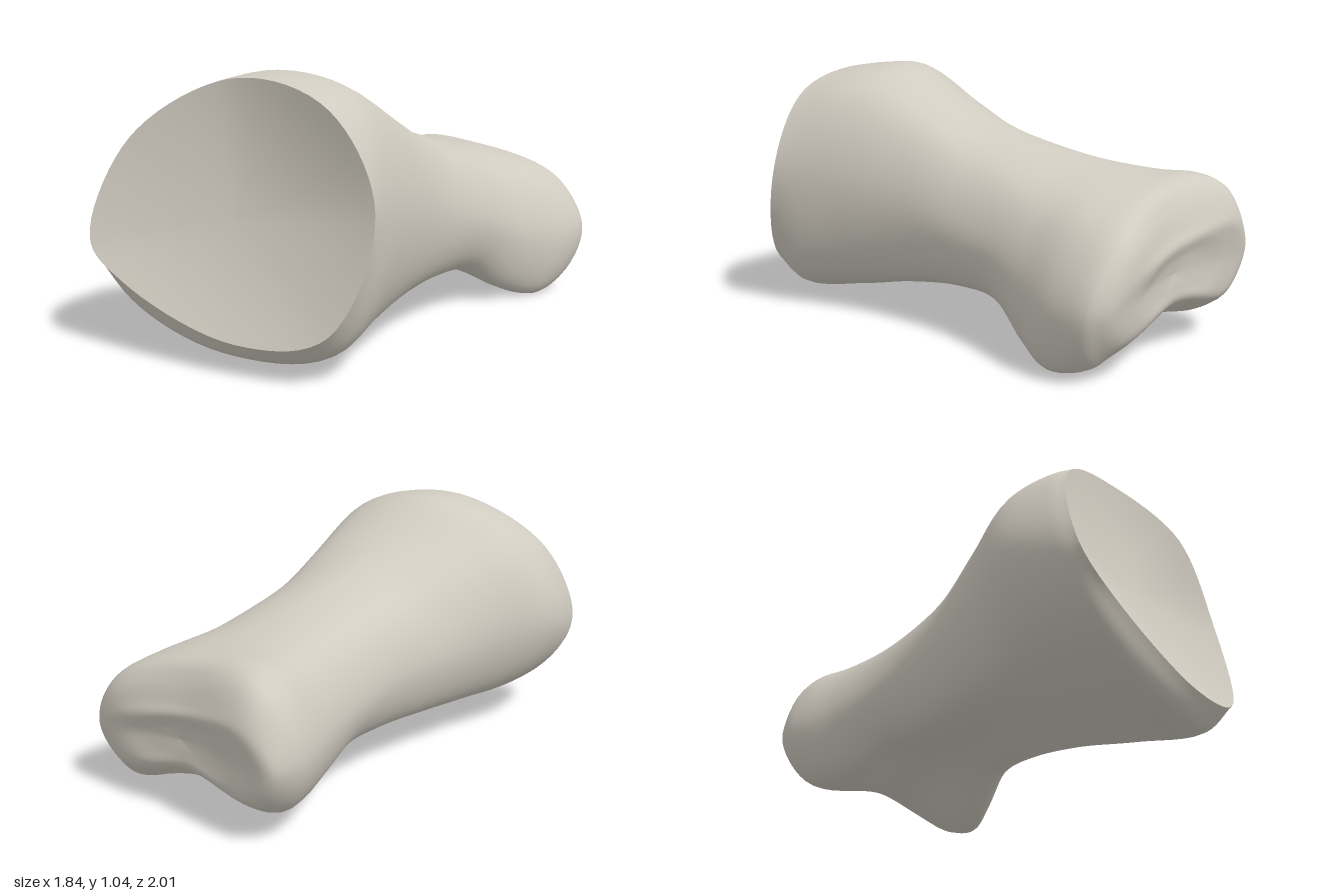
import * as THREE from 'three';

const AROUND = 72;

// Rim of the joint face: left side, over the top, right side, back underneath
const RIM = [
  [-0.92, 0.42, 0.69], [-0.78, 0.79, 0.62], [-0.38, 1.015, 0.655], [0.03, 0.93, 0.86],
  [0.20, 0.60, 0.94], [0.05, 0.19, 1.00], [-0.30, 0.12, 0.92], [-0.77, 0.28, 0.76],
].map(p => new THREE.Vector3(...p));

// Cross-sections from behind the rim to the knuckle end:
// left x,z | right x,z | side heights | top heights | bottom heights | lean | groove
const SECTIONS = [
  [-0.91, 0.59, 0.22, 0.82, 0.44, 0.58, 0.82, 1.03, 0.94, 0.22, 0.05, 0.11, -0.25, 0],
  [-0.82, 0.37, 0.26, 0.62, 0.50, 0.55, 0.82, 1.03, 0.92, 0.22, 0.07, 0.13, -0.12, 0],
  [-0.60, 0.17, 0.33, 0.35, 0.48, 0.50, 0.77, 0.90, 0.81, 0.20, 0.13, 0.17, -0.10, 0],
  [-0.40, -0.05, 0.43, 0.12, 0.44, 0.42, 0.69, 0.80, 0.69, 0.20, 0.17, 0.19, -0.05, 0],
  [-0.25, -0.25, 0.54, -0.07, 0.42, 0.36, 0.66, 0.735, 0.62, 0.20, 0.19, 0.17, -0.05, 0],
  [-0.14, -0.47, 0.68, -0.22, 0.38, 0.28, 0.63, 0.68, 0.55, 0.19, 0.19, 0.05, -0.10, 0],
  [-0.08, -0.66, 0.83, -0.36, 0.36, 0.26, 0.62, 0.64, 0.52, 0.13, 0.17, 0.00, -0.20, 0],
  [-0.04, -0.83, 0.92, -0.50, 0.34, 0.26, 0.62, 0.61, 0.49, 0.10, 0.14, 0.04, -0.20, 0.02],
  [0.00, -0.93, 0.91, -0.55, 0.33, 0.26, 0.58, 0.55, 0.45, 0.11, 0.14, 0.09, -0.20, 0.04],
  [0.08, -1.00, 0.88, -0.59, 0.33, 0.27, 0.48, 0.47, 0.39, 0.17, 0.18, 0.14, -0.15, 0.045],
];

// Eight guide points of one section, in the same order as the rim
function guideRing([lx, lz, rx, rz, yl, yr, t1, t2, t3, b1, b2, b3, lean, groove]) {
  const forward = new THREE.Vector2(lz - rz, rx - lx).normalize();
  const mid = (yl + yr) / 2;
  const guides = [[0, yl], [0.13, t1], [0.5, t2], [0.86, t3], [1, yr], [0.89, b3], [0.5, b2], [0.12, b1]];
  return guides.map(([s, y]) => {
    const d = lean * (y - mid) + (s === 0.5 ? groove : 0);
    return new THREE.Vector3(lx + (rx - lx) * s + forward.x * d, y, lz + (rz - lz) * s + forward.y * d);
  });
}

function smoothRing(points) {
  const curve = new THREE.CatmullRomCurve3(points, true);
  return Array.from({ length: AROUND }, (_, j) => curve.getPoint(j / AROUND));
}

// Ring scaled by r toward a centre, curving smoothly along the normal
function shrink(ring, centre, normal, r) {
  return ring.map(p => {
    const v = p.clone().sub(centre);
    const h = v.dot(normal);
    return centre.clone().addScaledVector(v, r).addScaledVector(normal, h * (r * r - r));
  });
}

// Smooth skin through a list of closed rings
function skin(rings) {
  const positions = [], index = [];
  rings.forEach(ring => ring.forEach(p => positions.push(p.x, p.y, p.z)));
  for (let i = 0; i < rings.length - 1; i++) {
    for (let j = 0; j < AROUND; j++) {
      const k = (j + 1) % AROUND;
      const a = i * AROUND + j, b = i * AROUND + k;
      const c = a + AROUND, d = b + AROUND;
      index.push(a, b, c, b, d, c);
    }
  }
  const geometry = new THREE.BufferGeometry();
  geometry.setAttribute('position', new THREE.Float32BufferAttribute(positions, 3));
  geometry.setIndex(index);
  geometry.computeVertexNormals();
  return geometry;
}

export function createModel() {
  const bone = new THREE.MeshStandardMaterial({ name: 'bone', color: 0xd0cbc0 });
  const group = new THREE.Group();
  group.name = 'fingerBone';

  const add = (name, geometry) => {
    const mesh = new THREE.Mesh(geometry, bone);
    mesh.name = name;
    group.add(mesh);
  };

  // Shaft and knuckle, closed at the back by a shallow saddle
  const control = [RIM, ...SECTIONS.map(guideRing)].map(smoothRing);
  const tip = new THREE.Vector3(0.49, 0.32, -0.755);
  const backward = new THREE.Vector3(0.46, 0, -0.89).normalize();
  const last = control[control.length - 1];
  for (const [r, bulge] of [[0.72, 0.02], [0.38, 0.01], [0.002, 0]]) {
    const ring = shrink(last, tip, backward, r);
    control.push(ring.map(p => p.addScaledVector(backward, bulge)));
  }

  const STEPS = (control.length - 1) * 6;
  const rings = Array.from({ length: STEPS + 1 }, () => []);
  for (let j = 0; j < AROUND; j++) {
    const line = new THREE.CatmullRomCurve3(control.map(r => r[j]));
    rings.forEach((ring, i) => ring.push(line.getPoint(i / STEPS)));
  }
  add('shaftAndKnuckle', skin(rings));

  // Shallow dished joint face at the front
  const inward = new THREE.Vector3(0.25, -0.27, -0.93).normalize();
  const centre = new THREE.Vector3();
  rings[0].forEach(p => centre.addScaledVector(p, 1 / AROUND));
  centre.addScaledVector(inward, 0.07);
  const dish = [];
  for (let i = 0; i <= 14; i++) dish.push(shrink(rings[0], centre, inward, 0.001 + 0.999 * i / 14));
  add('jointFace', skin(dish));

  // Stand on the ground, centred
  const box = new THREE.Box3().setFromObject(group);
  const c = box.getCenter(new THREE.Vector3());
  group.children.forEach(m => m.geometry.translate(-c.x, -box.min.y, -c.z));
  return group;
}
